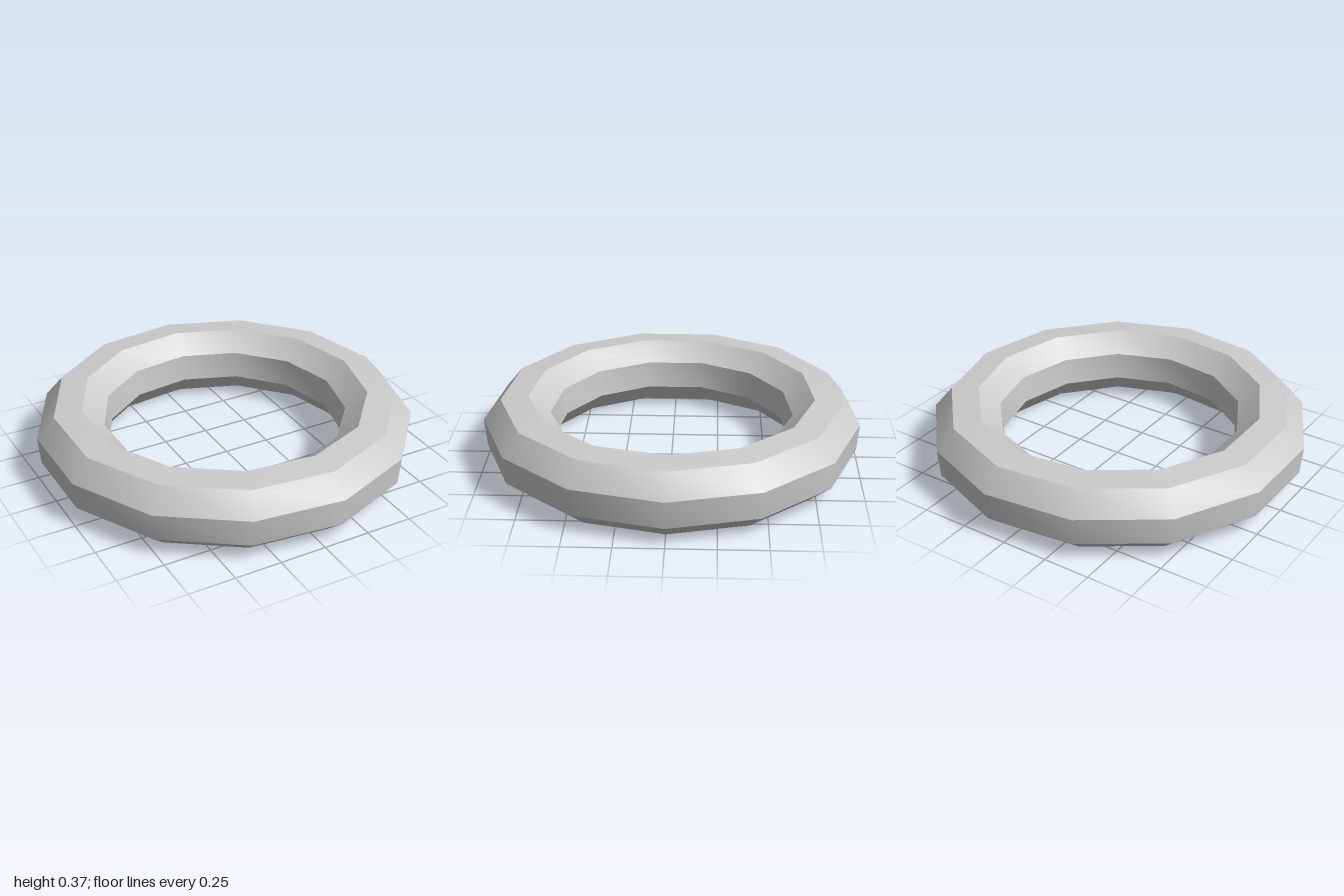
import * as THREE from 'three';
import { toCreasedNormals } from 'three/addons/utils/BufferGeometryUtils.js';

const SIDES = 13;          // segments around the ring
const TUBE_SIDES = 8;      // segments of the cross-section
const RING_RADIUS = 0.822;
const TUBE_RADIUS = 0.194;
const TILT = THREE.MathUtils.degToRad(17.5); // twist of the octagonal section

export function createModel() {
  const group = new THREE.Group();
  group.name = 'ringModel';

  // Closed octagonal cross-section, running upwards on the outer side
  const profile = [];
  for (let i = 0; i <= TUBE_SIDES; i++) {
    const a = TILT + ((i % TUBE_SIDES) / TUBE_SIDES) * Math.PI * 2;
    profile.push(new THREE.Vector2(
      RING_RADIUS + TUBE_RADIUS * Math.cos(a),
      0.185 + TUBE_RADIUS * Math.sin(a)
    ));
  }

  // Ring with a corner on +x: smooth around, sharp between the bands
  const lathe = new THREE.LatheGeometry(profile, SIDES, Math.PI / 2, Math.PI * 2);
  const geometry = toCreasedNormals(lathe, THREE.MathUtils.degToRad(35));
  const ring = new THREE.Mesh(geometry, new THREE.MeshStandardMaterial({ color: 0xcccccc }));
  ring.name = 'ring';
  ring.position.x = -0.015; // centres the odd-sided outline
  group.add(ring);

  return group;
}
